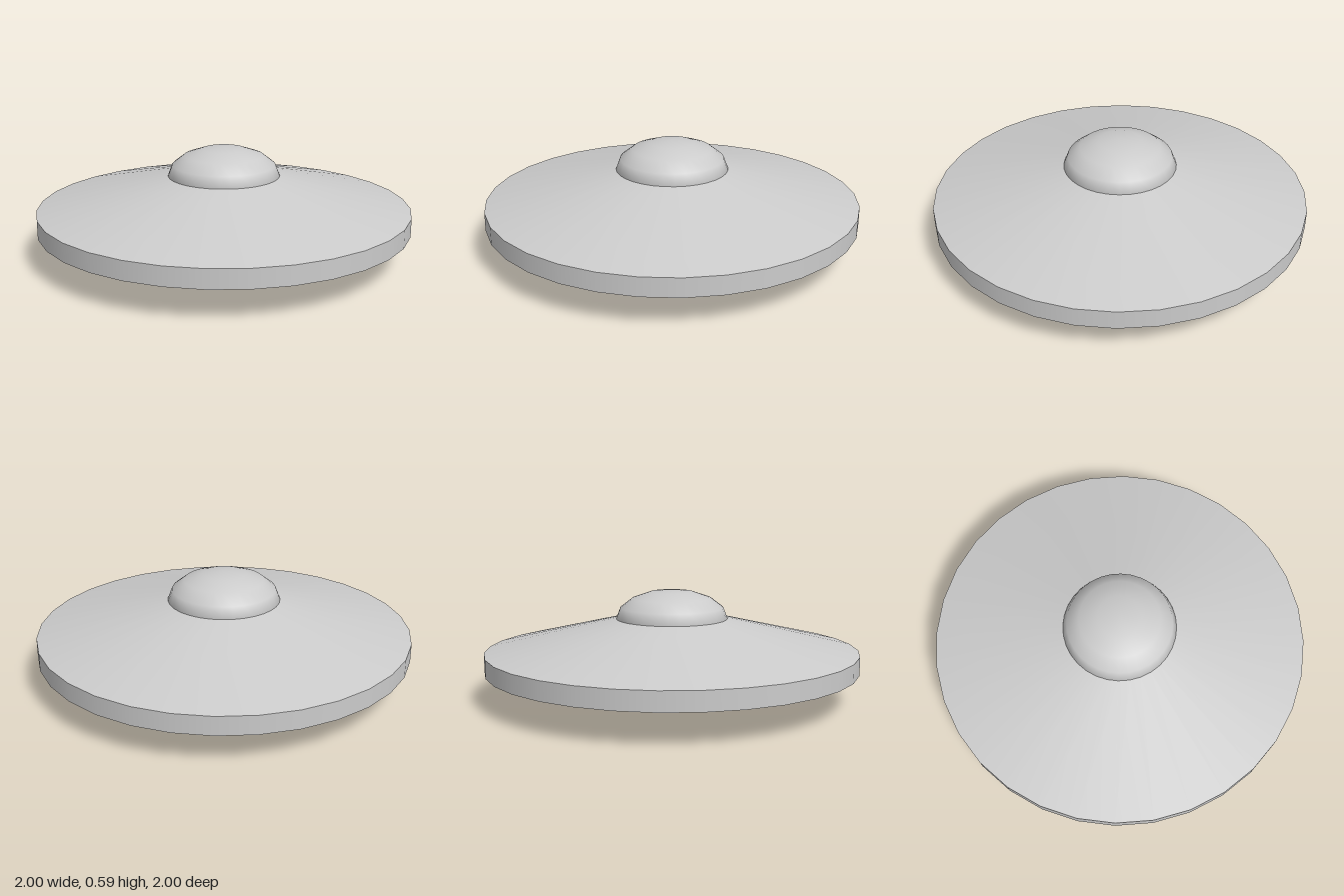
import * as THREE from 'three';

const SIDES = 32;

export function createModel() {
  const group = new THREE.Group();
  group.name = 'flyingSaucer';
  const material = new THREE.MeshStandardMaterial({ color: 0xcccccc });

  const add = (name, geometry, y) => {
    const mesh = new THREE.Mesh(geometry, material);
    mesh.name = name;
    mesh.position.y = y;
    group.add(mesh);
    return mesh;
  };

  // Open conical band between two heights
  const band = (name, bottomRadius, topRadius, y0, y1) =>
    add(name, new THREE.CylinderGeometry(topRadius, bottomRadius, y1 - y0, SIDES, 1, true), (y0 + y1) / 2);

  // Hull: underside, rim and upper slope, each smooth with sharp edges between
  band('lowerHull', 0.3, 1, 0, 0.167);
  band('rim', 1, 1, 0.167, 0.265);
  band('upperHull', 1, 0.3, 0.265, 0.432);

  // Flat bottom
  add('bottomPlate', new THREE.CircleGeometry(0.3, SIDES).rotateX(Math.PI / 2), 0);

  // Flattened cockpit dome
  const dome = new THREE.SphereGeometry(0.3, SIDES, 4, 0, Math.PI * 2, 0, Math.PI / 2);
  dome.scale(1, 0.155 / 0.3, 1);
  add('dome', dome, 0.432);

  return group;
}
